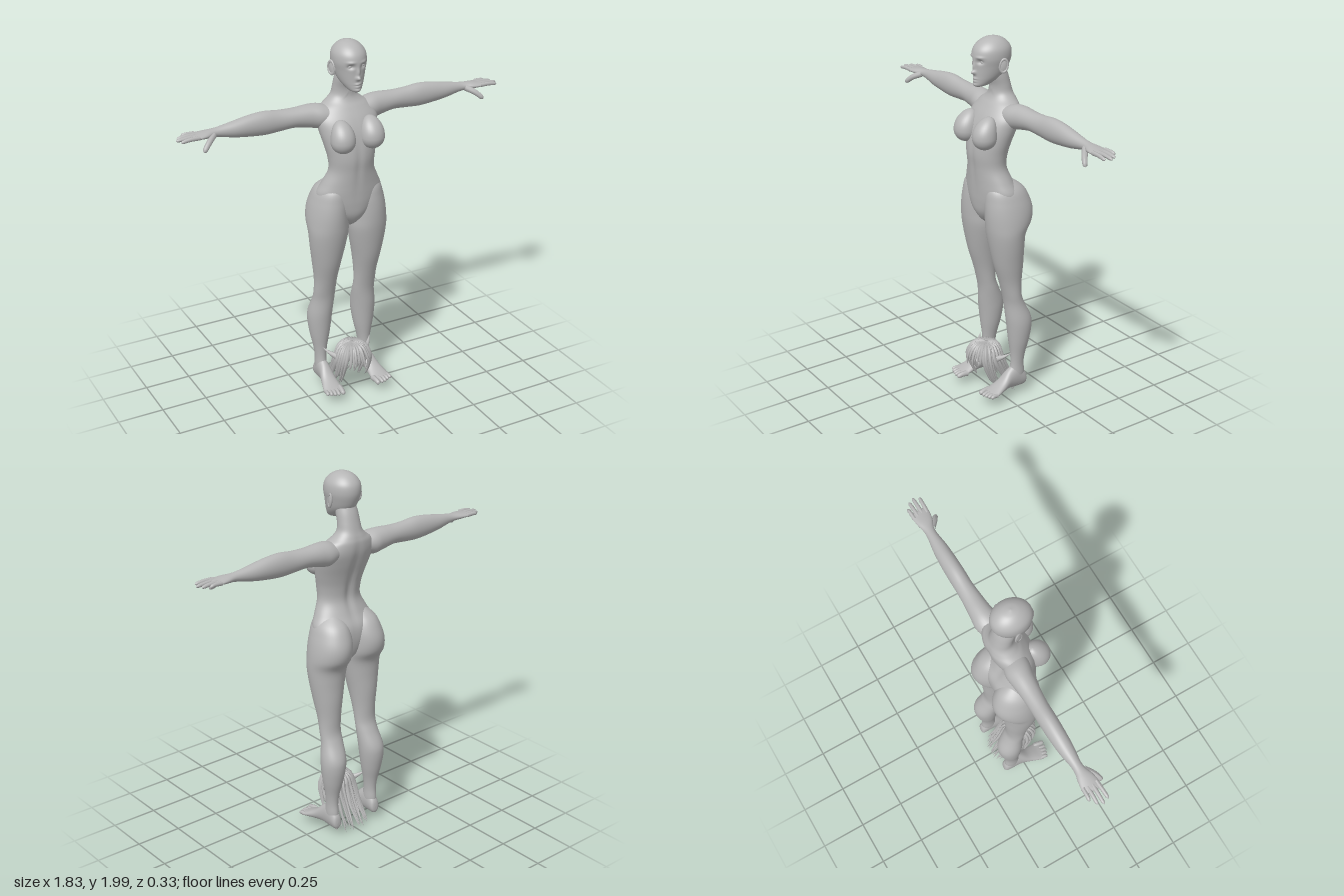
import * as THREE from 'three';

const clay = new THREE.MeshStandardMaterial({ color: 0xb6b6b6 });
clay.name = 'clay grey';

const V = (x, y, z) => new THREE.Vector3(x, y, z);
const bump = (x, y, cx, cy, sx, sy) => Math.exp(-(((x - cx) / sx) ** 2) - ((y - cy) / sy) ** 2);

// Make triangles of a closed shape face outwards
function faceOut(geo) {
  const p = geo.attributes.position, ix = geo.index.array;
  const a = V(), b = V(), c = V();
  let vol = 0;
  for (let i = 0; i < ix.length; i += 3) {
    a.fromBufferAttribute(p, ix[i]); b.fromBufferAttribute(p, ix[i + 1]); c.fromBufferAttribute(p, ix[i + 2]);
    vol += a.dot(b.cross(c));
  }
  if (vol < 0) for (let i = 0; i < ix.length; i += 3) [ix[i], ix[i + 1]] = [ix[i + 1], ix[i]];
  geo.computeVertexNormals();
  return geo;
}

// Smooth closed skin over elliptical sections: [position along axis, aLow, aHigh, bLow, bHigh]
function loft(axis, rows, seg = 36, sub = 5, warp = null) {
  const at = {
    x: (t, a, b) => V(t, a, b), y: (t, a, b) => V(a, t, b), z: (t, a, b) => V(a, b, t)
  }[axis];
  const pos = [], idx = [], count = (rows.length - 1) * sub + 1;
  for (let r = 0; r < count; r++) {
    const i = Math.min(Math.floor(r / sub), rows.length - 2), u = r / sub - i;
    const R = k => rows[Math.max(0, Math.min(rows.length - 1, k))];
    const s = rows[0].map((_, k) => {
      const p0 = R(i - 1)[k], p1 = R(i)[k], p2 = R(i + 1)[k], p3 = R(i + 2)[k];
      return p1 + 0.5 * u * (p2 - p0 + u * (2 * p0 - 5 * p1 + 4 * p2 - p3 + u * (3 * (p1 - p2) + p3 - p0)));
    });
    for (let j = 0; j < seg; j++) {
      const q = (j / seg) * Math.PI * 2;
      const v = at(s[0], (s[1] + s[2]) / 2 + (s[2] - s[1]) / 2 * Math.cos(q),
        (s[3] + s[4]) / 2 + (s[4] - s[3]) / 2 * Math.sin(q));
      if (warp) warp(v);
      pos.push(v.x, v.y, v.z);
      if (r < count - 1) {
        const a = r * seg + j, b = r * seg + (j + 1) % seg;
        idx.push(a, a + seg, b, b, a + seg, b + seg);
      }
    }
  }
  const last = (count - 1) * seg;
  for (let j = 1; j < seg - 1; j++) idx.push(0, j, j + 1, last, last + j + 1, last + j);
  const geo = new THREE.BufferGeometry();
  geo.setAttribute('position', new THREE.Float32BufferAttribute(pos, 3));
  geo.setIndex(idx);
  return faceOut(geo);
}

// Tube whose radius follows a rule along its length
function taper(points, radius, rule, sides = 10, steps = 14) {
  const curve = new THREE.CatmullRomCurve3(points);
  const geo = new THREE.TubeGeometry(curve, steps, radius, sides);
  const p = geo.attributes.position, v = V();
  for (let i = 0; i < p.count; i++) {
    const t = Math.floor(i / (sides + 1)) / steps, c = curve.getPointAt(t);
    v.fromBufferAttribute(p, i).sub(c).multiplyScalar(rule(t)).add(c);
    p.setXYZ(i, v.x, v.y, v.z);
  }
  return faceOut(geo);
}
const digit = t => Math.sqrt(Math.max(0, 1 - Math.max(0, (t - 0.8) / 0.2) ** 2)) * (1 - 0.25 * t);
const lock = t => Math.max(0.02, Math.min(1, 0.5 + 2 * t) * Math.sqrt(1 - t));

function ball(x, y, z, rx, ry, rz) {
  return new THREE.SphereGeometry(1, 24, 18).scale(rx, ry, rz).translate(x, y, z);
}

export function createModel() {
  const model = new THREE.Group();
  model.name = 'figure';
  const add = (name, geo) => {
    const m = new THREE.Mesh(geo, clay);
    m.name = name;
    model.add(m);
  };
  const pair = (name, geo) => {
    add('left ' + name, geo);
    add('right ' + name, faceOut(geo.clone().scale(-1, 1, 1)));
  };

  // Torso and neck, with a groove down the spine and belly
  const sym = rows => rows.map(([y, x, b, f]) => [y, -x, x, b, f]);
  add('torso', loft('y', sym([
    [1.0, 0.015, -0.06, 0.02], [1.03, 0.05, -0.09, 0.06], [1.08, 0.11, -0.11, 0.09], [1.14, 0.163, -0.12, 0.1],
    [1.2, 0.183, -0.115, 0.104], [1.26, 0.156, -0.085, 0.108], [1.33, 0.125, -0.06, 0.114], [1.4, 0.128, -0.066, 0.121],
    [1.47, 0.144, -0.085, 0.115], [1.54, 0.16, -0.11, 0.098], [1.6, 0.166, -0.127, 0.07], [1.65, 0.135, -0.131, 0.035],
    [1.68, 0.095, -0.125, 0.012], [1.71, 0.068, -0.115, 0.001], [1.75, 0.061, -0.104, 0.002],
    [1.8, 0.058, -0.09, 0.02], [1.85, 0.05, -0.07, 0.03]
  ]), 64, 5, v => {
    if (v.z < 0) v.z += 0.014 * bump(v.x, v.y, 0, 1.42, 0.022, 0.2);
    else v.z -= 0.006 * bump(v.x, v.y, 0, 1.38, 0.018, 0.16);
  }));

  // Breasts: spheres drawn out into a slope above
  const breast = new THREE.SphereGeometry(0.064, 32, 24);
  const bp = breast.attributes.position;
  for (let i = 0; i < bp.count; i++) {
    const y = bp.getY(i);
    if (y > 0) bp.setXYZ(i, bp.getX(i), y * 1.6, bp.getZ(i) - 7 * y * y);
  }
  pair('breast', faceOut(breast.translate(0.083, 1.51, 0.098)));

  // Head with modelled face
  add('head', loft('y', sym([
    [1.752, 0.012, 0.05, 0.09], [1.762, 0.032, 0.015, 0.1], [1.79, 0.053, -0.035, 0.1], [1.82, 0.067, -0.075, 0.1],
    [1.86, 0.078, -0.097, 0.101], [1.9, 0.086, -0.108, 0.105], [1.94, 0.083, -0.104, 0.097],
    [1.97, 0.065, -0.083, 0.073], [1.991, 0.037, -0.05, 0.037], [2.0, 0.003, -0.008, -0.002]
  ]), 96, 9, v => {
    if (v.z < 0.02) return;
    const { x, y } = v, ax = Math.abs(x);
    v.z += 0.02 * bump(x, y, 0, 1.828, 0.011, 0.01) + 0.012 * bump(x, y, 0, 1.856, 0.008, 0.022)
      + 0.007 * bump(x, y, 0, 1.797, 0.016, 0.005) + 0.007 * bump(x, y, 0, 1.783, 0.015, 0.005)
      + 0.006 * bump(x, y, 0, 1.765, 0.016, 0.009) + 0.005 * bump(ax, y, 0.036, 1.908, 0.02, 0.006)
      - 0.014 * bump(ax, y, 0.034, 1.886, 0.016, 0.011);
  }));
  pair('eye', ball(0.034, 1.885, 0.072, 0.015, 0.011, 0.014));
  pair('ear', ball(0, 0, 0, 0.008, 0.036, 0.022).rotateY(-0.35).rotateX(-0.15).translate(0.085, 1.862, -0.012));
  pair('ear rim', new THREE.TorusGeometry(0.02, 0.005, 8, 24).scale(1, 1.6, 1)
    .rotateY(Math.PI / 2 - 0.35).rotateX(-0.15).translate(0.09, 1.864, -0.014));

  // Arms out to the palm
  pair('arm', loft('x', [
    [0.07, 1.58, 1.65, -0.095, 0.02], [0.14, 1.548, 1.673, -0.115, 0.018], [0.2, 1.556, 1.677, -0.112, 0.004],
    [0.28, 1.57, 1.672, -0.105, -0.006], [0.36, 1.565, 1.674, -0.102, -0.012], [0.44, 1.56, 1.682, -0.102, -0.012],
    [0.52, 1.566, 1.676, -0.1, -0.014], [0.6, 1.577, 1.662, -0.094, -0.018], [0.68, 1.594, 1.648, -0.082, -0.028],
    [0.72, 1.601, 1.643, -0.082, -0.025], [0.76, 1.604, 1.64, -0.091, -0.01], [0.8, 1.609, 1.635, -0.096, -0.004],
    [0.825, 1.613, 1.632, -0.093, -0.008], [0.835, 1.619, 1.627, -0.08, -0.02]
  ]));
  [[-0.087, -0.092, 0.868], [-0.065, -0.067, 0.9], [-0.04, -0.04, 0.914], [-0.015, -0.009, 0.9]].forEach(([z0, z1, x], i) =>
    pair('finger ' + (i + 1), taper([V(0.8, 1.623, z0), V(0.85, 1.624, (z0 + z1) / 2), V(x, 1.618, z1)], 0.0115, digit)));
  pair('thumb', taper([V(0.72, 1.617, -0.035), V(0.76, 1.595, 0.0), V(0.798, 1.56, 0.025)], 0.017, digit));

  // Legs, with the seat formed by their upper sections
  pair('leg', loft('y', [
    [1.27, 0.06, 0.12, -0.05, 0.05], [1.22, 0.02, 0.174, -0.118, 0.085], [1.16, 0.004, 0.199, -0.152, 0.095],
    [1.1, 0.002, 0.214, -0.166, 0.098], [1.04, 0.002, 0.221, -0.155, 0.096], [0.98, 0.006, 0.22, -0.117, 0.09],
    [0.9, 0.02, 0.212, -0.108, 0.076], [0.8, 0.04, 0.197, -0.105, 0.054], [0.7, 0.055, 0.183, -0.098, 0.024],
    [0.62, 0.06, 0.181, -0.097, 0.003], [0.56, 0.06, 0.183, -0.117, -0.008], [0.48, 0.063, 0.197, -0.153, -0.014],
    [0.42, 0.068, 0.198, -0.157, -0.02], [0.34, 0.08, 0.188, -0.143, -0.028], [0.26, 0.097, 0.172, -0.122, -0.037],
    [0.2, 0.104, 0.165, -0.115, -0.038], [0.14, 0.104, 0.165, -0.12, -0.03], [0.08, 0.11, 0.16, -0.115, -0.035]
  ], 40));

  // Feet and toes
  pair('foot', loft('z', [
    [-0.131, 0.125, 0.143, 0.075, 0.1], [-0.12, 0.108, 0.16, 0.057, 0.14], [-0.07, 0.103, 0.166, 0.055, 0.19],
    [-0.02, 0.1, 0.17, 0.06, 0.17], [0.03, 0.097, 0.183, 0.06, 0.125], [0.08, 0.094, 0.197, 0.057, 0.096],
    [0.11, 0.096, 0.199, 0.057, 0.083], [0.122, 0.11, 0.19, 0.063, 0.076]
  ]));
  for (let i = 0; i < 5; i++) {
    const x = i ? 0.113 + i * 0.0195 : 0.107, tip = 0.153 - i * i * 0.0015;
    pair('toe ' + (i + 1), taper([V(x - 0.003, 0.072, 0.09), V(x, 0.072, 0.12), V(x + 0.003, 0.064, tip)], i ? 0.012 : 0.016, digit));
  }

  // Wig standing between the feet: cap, then two layers of locks
  add('wig cap', new THREE.SphereGeometry(1, 32, 12, 0, Math.PI * 2, 0, Math.PI * 0.48)
    .rotateX(-0.5).scale(0.09, 0.105, 0.09).translate(0, 0.195, 0.045));
  let seed = 7;
  const rnd = () => (seed = (seed * 16807) % 2147483647) / 2147483647 - 0.5;
  for (let layer = 0; layer < 2; layer++) {
    for (let i = 0; i < 24; i++) {
      const a = (i + layer / 2) / 24 * Math.PI * 2 + rnd() * 0.12;
      const s = Math.sin(a), c = Math.cos(a), k = 1 - layer * 0.06;
      const front = c > 0.72, back = c < 0.1;
      const end = front ? V(s * 0.1, 0.2 + rnd() * 0.05, 0.05 + 0.09 * c)
        : back ? V(s * 0.1 + rnd() * 0.03, 0.025 + rnd() * 0.035, -0.06 + 0.085 * c)
          : V(s * 0.1, 0.07 + rnd() * 0.06, 0.01 + 0.05 * c);
      const low = front ? [] : [V(s * 0.1, 0.13, back ? 0.0 + 0.085 * c : 0.03 + 0.07 * c)];
      add('hair lock', taper([V(s * 0.01, 0.296, 0.035 + c * 0.01), V(s * 0.062 * k, 0.287, 0.04 + c * 0.066 * k),
        V(s * 0.095 * k, 0.23, 0.047 + c * 0.092 * k), ...low, end], 0.0135, lock, 7, 14));
    }
  }
  pair('pointed wig ear', taper([V(0.08, 0.225, 0.03), V(0.115, 0.245, 0.005), V(0.148, 0.275, -0.03)], 0.02, t => Math.max(0.03, 1 - t)));

  return model;
}
